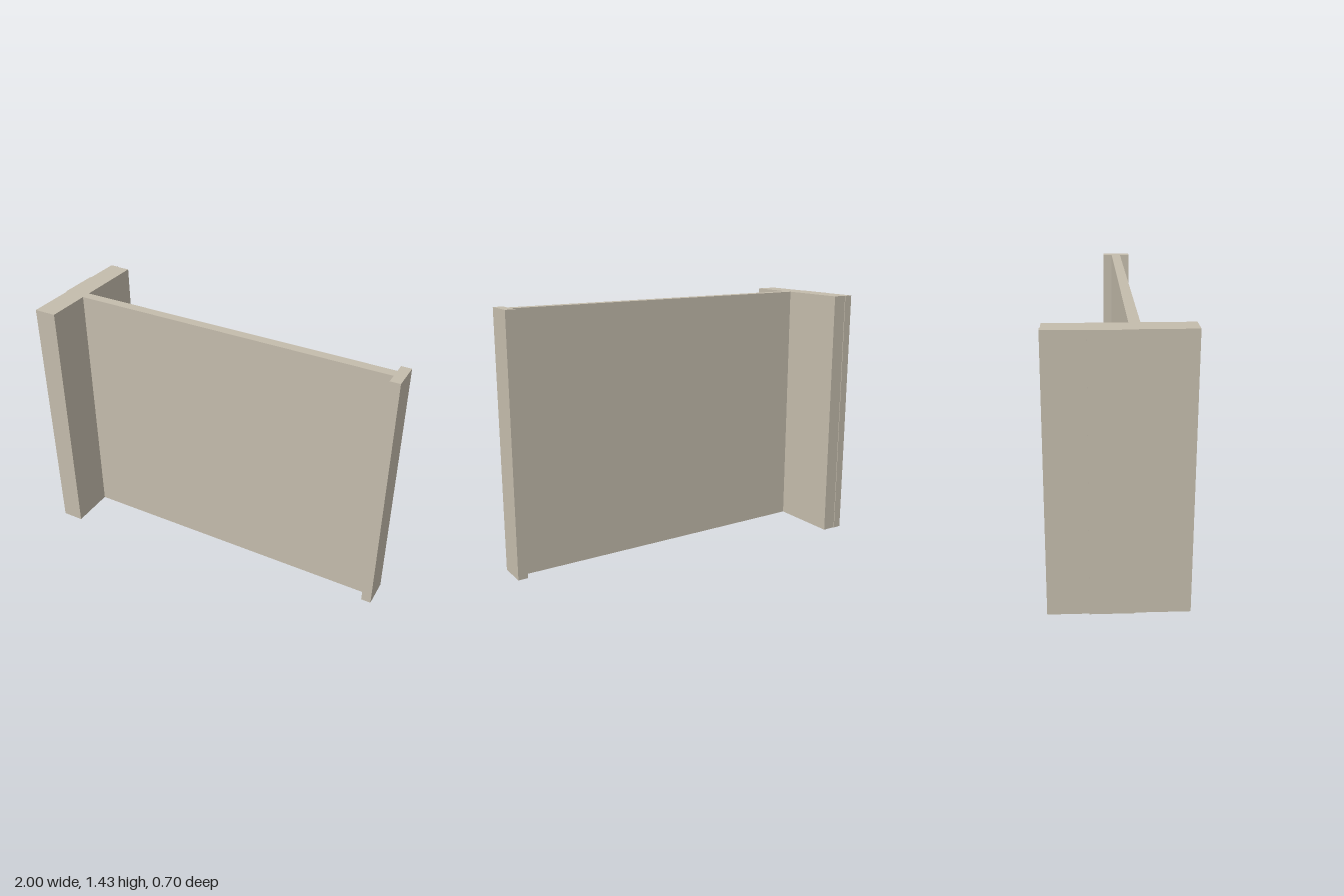
import * as THREE from 'three';

const HEIGHT = 1.43;

// Extrudes a plan outline of [x, z] points upward from the ground.
function wallPart(name, outline, material) {
  const shape = new THREE.Shape(outline.map(([x, z]) => new THREE.Vector2(x, -z)));
  const geometry = new THREE.ExtrudeGeometry(shape, { depth: HEIGHT, bevelEnabled: false });
  geometry.rotateX(-Math.PI / 2);
  const mesh = new THREE.Mesh(geometry, material);
  mesh.name = name;
  return mesh;
}

const rectangle = (x0, x1, z0, z1) => [[x0, z0], [x0, z1], [x1, z1], [x1, z0]];

export function createModel() {
  const plaster = new THREE.MeshStandardMaterial({ color: 0xc4bcac });
  plaster.name = 'plaster';
  const group = new THREE.Group();
  group.name = 'wallSection';

  // Thick end wall, with a shallow raised strip outside and a small step at the back
  group.add(wallPart('endWall', [
    [-0.994, -0.352], [-0.994, -0.145], [-1, -0.145], [-1, 0.08], [-0.994, 0.08],
    [-0.994, 0.352], [-0.87, 0.352], [-0.87, -0.348], [-0.948, -0.348], [-0.948, -0.352],
  ], plaster));

  // Thin partition between the two ends
  group.add(wallPart('partition', rectangle(-0.87, 0.945, 0.042, 0.096), plaster));

  // Narrow cap at the free end
  group.add(wallPart('endCap', rectangle(0.945, 1, -0.01, 0.153), plaster));

  return group;
}
